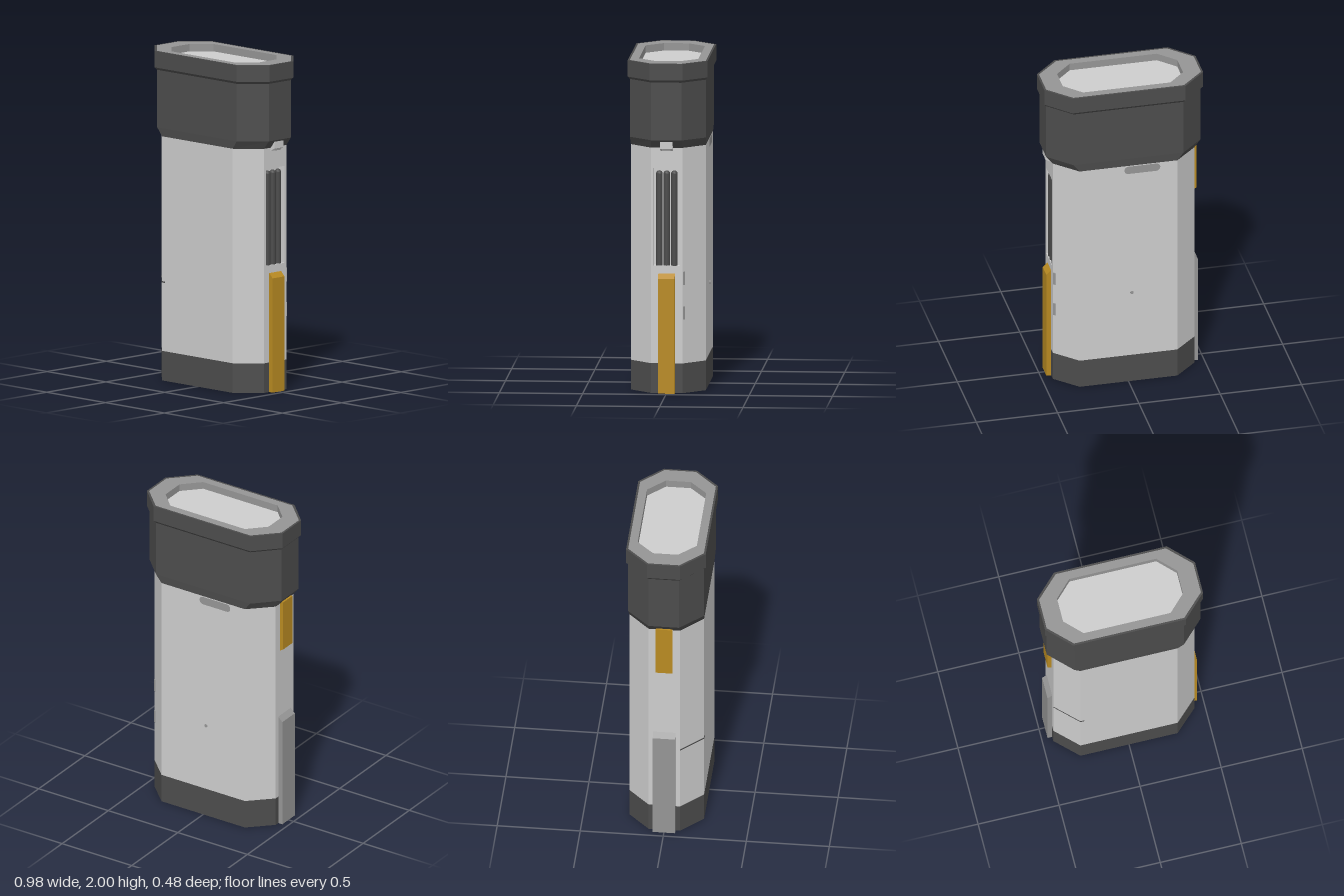
import * as THREE from 'three';

const mat = (name, color, side = THREE.FrontSide) => {
  const m = new THREE.MeshStandardMaterial({ color, side });
  m.name = name;
  return m;
};

// Eight corners of a chamfered rectangle, as [x, z]
const octagon = ([hx, hz, fx, fz]) => [
  [hx, fz], [fx, hz], [-fx, hz], [-hx, fz], [-hx, -fz], [-fx, -hz], [fx, -hz], [hx, -fz],
];

// Open faceted shell through octagons [y, size]; one side may be left out
function shell(rings, skip = -1) {
  const pos = [];
  for (let r = 0; r + 1 < rings.length; r++) {
    const [y0, s0] = rings[r], [y1, s1] = rings[r + 1];
    const lo = octagon(s0).map(([x, z]) => [x, y0, z]);
    const hi = octagon(s1).map(([x, z]) => [x, y1, z]);
    for (let i = 0; i < 8; i++) {
      if (i === skip) continue;
      const j = (i + 1) % 8;
      pos.push(...lo[j], ...lo[i], ...hi[i], ...lo[j], ...hi[i], ...hi[j]);
    }
  }
  const g = new THREE.BufferGeometry();
  g.setAttribute('position', new THREE.Float32BufferAttribute(pos, 3));
  g.computeVertexNormals();
  return g;
}

// Horizontal octagonal face, optionally with an octagonal hole
function deck(y, size, hole) {
  const pts = (s) => octagon(s).map(([x, z]) => new THREE.Vector2(x, z));
  const shape = new THREE.Shape(pts(size));
  if (hole) shape.holes.push(new THREE.Path(pts(hole)));
  return new THREE.ShapeGeometry(shape).rotateX(-Math.PI / 2).translate(0, y, 0);
}

// Upright strip with a sloped upper end, standing out towards +x
function strip(height, depth, width, slope) {
  const shape = new THREE.Shape([[0, 0], [depth, 0], [depth, height - slope], [0, height]]
    .map((p) => new THREE.Vector2(...p)));
  return new THREE.ExtrudeGeometry(shape, { depth: width, bevelEnabled: false }).translate(0, 0, -width / 2);
}

export function createModel() {
  const light = mat('light grey', 0xcdcdcd, THREE.DoubleSide);
  const dark = mat('dark grey', 0x4c4c4c, THREE.DoubleSide);
  const mid = mat('mid grey', 0x959595, THREE.DoubleSide);
  const amber = mat('amber', 0xb88a22);
  const root = new THREE.Group();
  const add = (name, geo, material, x = 0, y = 0, z = 0) => {
    const m = new THREE.Mesh(geo, material);
    m.name = name;
    m.position.set(x, y, z);
    root.add(m);
    return m;
  };

  const BODY = [0.435, 0.225, 0.3, 0.095];
  const CAP = [0.475, 0.228, 0.338, 0.092];
  const COLLAR = [0.488, 0.24, 0.348, 0.1];
  const RIM = [0.476, 0.228, 0.34, 0.094];
  const WELL = [0.37, 0.178, 0.268, 0.075];

  // Hollow body, open at the bottom
  add('baseBand', shell([[0, BODY], [0.18, BODY]]), dark);
  add('bodyShell', shell([[0.18, BODY], [1.49, BODY]], 7), light);

  // Side panel with the vent opening
  const rect = (C, z0, z1, y0, y1) =>
    new C([[z0, y0], [z1, y0], [z1, y1], [z0, y1]].map((p) => new THREE.Vector2(...p)));
  const panel = rect(THREE.Shape, -0.095, 0.095, 0.18, 1.49);
  panel.holes.push(rect(THREE.Path, -0.078, 0.078, 0.77, 1.36));
  add('ventPanel', new THREE.ShapeGeometry(panel).rotateY(Math.PI / 2), light, 0.435);

  // Vent recess and its three bars
  add('ventBack', new THREE.PlaneGeometry(0.156, 0.59).rotateY(Math.PI / 2), light, 0.385, 1.065);
  for (const s of [-1, 1]) {
    add('ventSide', new THREE.PlaneGeometry(0.05, 0.59), light, 0.41, 1.065, s * 0.078);
    add('ventEnd', new THREE.PlaneGeometry(0.05, 0.156).rotateX(Math.PI / 2), light, 0.41, 1.065 + s * 0.295);
  }
  for (const z of [-0.045, 0, 0.045]) {
    add('ventBar', new THREE.CylinderGeometry(0.02, 0.02, 0.555, 8), dark, 0.412, 1.0475, z);
    add('ventBarTip', new THREE.SphereGeometry(0.02, 8, 4, 0, Math.PI * 2, 0, Math.PI / 2), dark, 0.412, 1.325, z);
  }

  // Flared cap, collar and sunken top
  add('cap', shell([[1.485, BODY], [1.535, CAP], [1.885, CAP], [1.9, COLLAR], [2, COLLAR]]), dark);
  add('collarEdge', deck(2, COLLAR, RIM), dark);
  add('topRim', deck(2, RIM, WELL), mid);
  add('wellWall', shell([[1.955, WELL], [2, WELL]]), mid);
  add('wellFloor', deck(1.955, WELL), light);

  // Side strips
  add('leftStrip', strip(0.725, 0.03, 0.1, 0.03), amber, 0.434);
  const rail = add('rightRail', strip(0.725, 0.03, 0.135, 0.03), mid, -0.434);
  rail.rotation.y = Math.PI;
  const tab = add('rightTab', strip(0.335, 0.025, 0.1, 0.015), amber, -0.434, 1.5);
  tab.rotation.z = Math.PI;

  // Small stud below the cap
  add('stud', strip(0.065, 0.033, 0.075, 0.018).rotateX(Math.PI), light, 0.434, 1.53);
  add('studCore', new THREE.BoxGeometry(0.02, 0.012, 0.05), mid, 0.45, 1.475);

  // Seam across the front and its chamfer
  add('frontSeam', new THREE.BoxGeometry(0.025, 0.008, 0.004), dark, -0.2875, 0.6, 0.225);
  const seam = add('chamferSeam', new THREE.BoxGeometry(0.187, 0.008, 0.004), dark, -0.3675, 0.6, 0.16);
  seam.rotation.y = -Math.atan2(0.13, 0.135);

  // Small buttons on the rear chamfer
  for (const y of [0.485, 0.695]) {
    const b = add('sideButton', new THREE.BoxGeometry(0.008, 0.08, 0.014), mid, 0.427, y, -0.103);
    b.rotation.y = Math.PI / 4;
  }

  // Rear slot plate and pin
  const slot = new THREE.Shape();
  slot.absarc(0.085, 0, 0.025, -Math.PI / 2, Math.PI / 2);
  slot.absarc(-0.085, 0, 0.025, Math.PI / 2, Math.PI * 1.5);
  add('rearSlot', new THREE.ShapeGeometry(slot), mid, -0.085, 1.455, -0.2265);
  add('rearPin', new THREE.CylinderGeometry(0.01, 0.01, 0.006, 10).rotateX(Math.PI / 2), mid, -0.02, 0.61, -0.226);

  return root;
}
